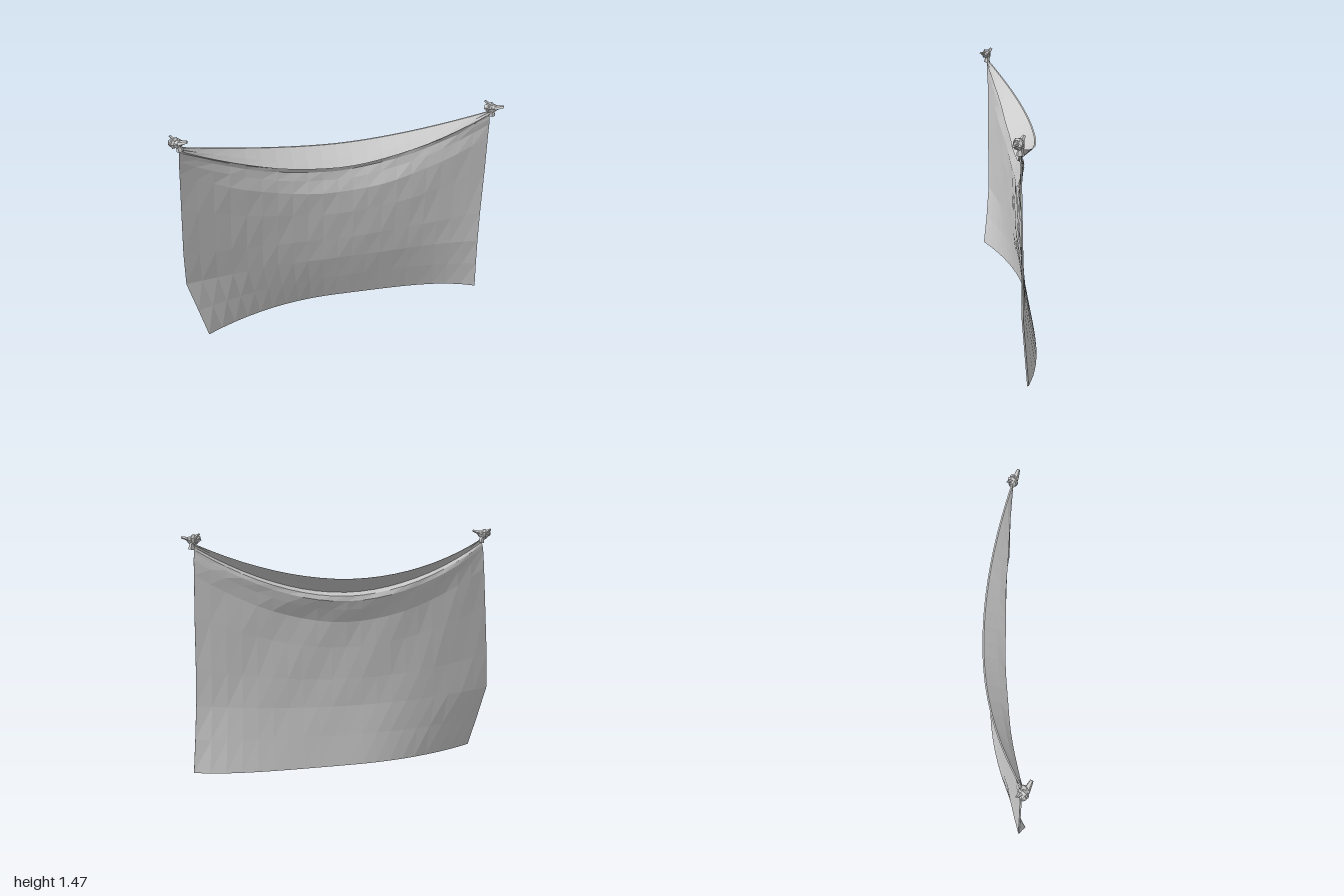
import * as THREE from 'three';

const material = new THREE.MeshStandardMaterial({
  color: 0xcccccc, flatShading: true, side: THREE.DoubleSide,
});

// Cloth rows from top to bottom:
// middle y, middle z, edge y, right-hand edge x, z, left-hand edge x, z
const ROWS = [
  [1.19, -0.14, 1.405, -0.93, 0.085, 0.92, 0.03],
  [1.13, -0.06, 1.395, -0.93, 0.085, 0.92, 0.03],
  [1.095, -0.015, 1.385, -0.935, 0.085, 0.92, 0.03],
  [1.075, -0.05, 1.37, -0.935, 0.08, 0.92, 0.025],
  [1.045, -0.06, 1.35, -0.94, 0.08, 0.92, 0.025],
  [0.99, -0.045, 1.31, -0.945, 0.08, 0.925, 0.02],
  [0.91, -0.022, 1.22, -0.95, 0.075, 0.925, 0.02],
  [0.75, -0.025, 0.98, -0.965, 0.075, 0.93, 0.015],
  [0.55, -0.035, 0.65, -0.985, 0.075, 0.932, 0.012],
  [0.38, -0.05, 0.42, -0.99, 0.075, 0.937, 0.01],
  [0.2, -0.08, 0.21, -0.935, 0.095, 0.95, -0.005],
  [0.012, -0.115, 0.012, -0.885, 0.12, 0.965, -0.02],
];

// A thin box bent row by row into a hanging, sagging sheet
function makeCloth() {
  const n = ROWS.length - 1;
  const geo = new THREE.BoxGeometry(2, n, 1, 20, n, 1);
  const p = geo.attributes.position;
  for (let i = 0; i < p.count; i++) {
    const s = p.getX(i);
    const row = Math.round(n / 2 - p.getY(i));
    const [yc, zc, ys, xr, zr, xl, zl] = ROWS[row];
    const a = Math.abs(s);
    const low = Math.max(0, (row - 7) / (n - 7));
    const power = s > 0 ? 2 + 2.5 * low : 2.1;
    // faint creases that fade out at the rim
    const crease = 0.006 * Math.sin(s * 9 + row * 2.3) * Math.sin(row * 1.7 + s * 4)
      * (1 - a ** 6) * Math.sin(Math.PI * row / n);
    const x = (s < 0 ? -xr : xl) * s;
    const y = yc + (ys - yc) * a ** 1.9 - 0.008 * s * (row === n ? 1 : 0);
    const z = zc + ((s < 0 ? zr : zl) - zc) * a ** power + crease;
    p.setXYZ(i, x, Math.max(0, y), z + p.getZ(i) * 0.009);
  }
  const mesh = new THREE.Mesh(geo, material);
  mesh.name = 'cloth';
  return mesh;
}

function addPart(group, name, geo, pos, scale, rot) {
  const mesh = new THREE.Mesh(geo, material);
  mesh.name = name;
  mesh.position.set(...pos);
  mesh.scale.set(...scale);
  mesh.rotation.set(...rot);
  group.add(mesh);
}

// Faceted lump with a wrapped band and two loose cloth ends
function makeKnot(name) {
  const knot = new THREE.Group();
  knot.name = name;
  const lump = new THREE.IcosahedronGeometry(1, 0);
  const tail = new THREE.CylinderGeometry(0.5, 1, 1, 5);
  addPart(knot, 'knotCore', lump, [0, 0, 0], [0.04, 0.028, 0.032], [0.3, 0.2, 0]);
  addPart(knot, 'knotWrap', new THREE.TorusGeometry(0.024, 0.012, 5, 7),
    [-0.012, 0, 0], [1, 1, 1.1], [0.2, 1.2, 0.15]);
  addPart(knot, 'knotFold', lump, [-0.028, 0.004, 0.008], [0.025, 0.021, 0.025], [0.5, 0.9, 0.4]);
  addPart(knot, 'looseEnd', tail, [0.04, 0.014, 0.012], [0.014, 0.055, 0.02], [0.3, 0, -1.25]);
  addPart(knot, 'looseEnd', tail, [-0.03, 0.02, -0.016], [0.012, 0.045, 0.018], [-0.5, 0, 0.95]);
  addPart(knot, 'gather', new THREE.CylinderGeometry(0.012, 0.022, 0.05, 6),
    [0.005, -0.03, -0.01], [1, 1, 1], [0, 0, 0.25]);
  return knot;
}

export function createModel() {
  const model = new THREE.Group();
  model.name = 'hangingCloth';
  model.add(makeCloth());

  const rightKnot = makeKnot('rightKnot');
  rightKnot.position.set(-0.943, 1.437, 0.09);
  rightKnot.rotation.y = -0.4;
  model.add(rightKnot);

  const leftKnot = makeKnot('leftKnot');
  leftKnot.position.set(0.927, 1.427, 0.034);
  leftKnot.rotation.set(0, -0.25, -0.1);
  model.add(leftKnot);
  return model;
}
